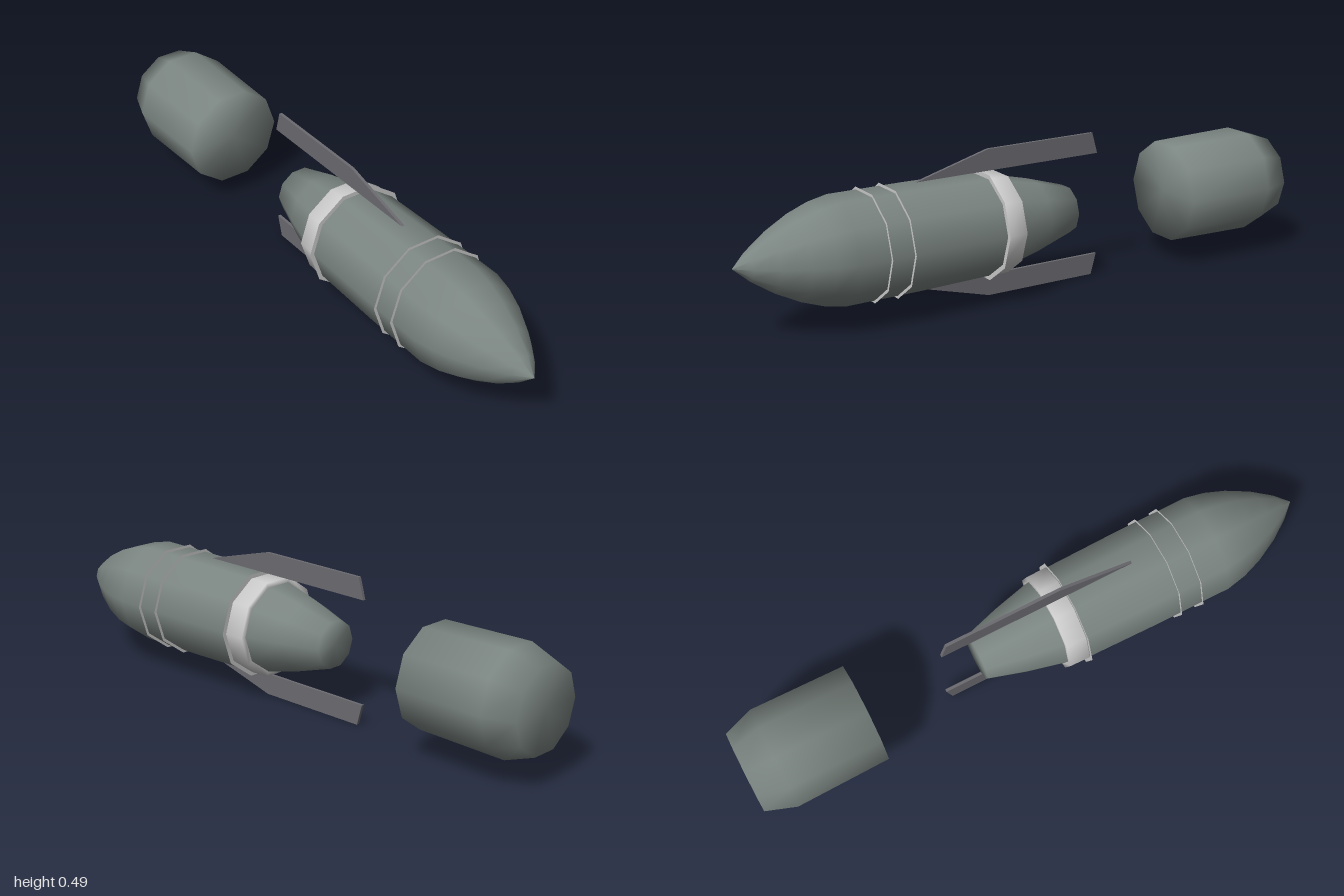
import * as THREE from 'three';

const SIDES = 10;
const AXIS_Y = 0.245;

const bodyMat = new THREE.MeshStandardMaterial({ color: 0x7b8581 });
const finMat = new THREE.MeshStandardMaterial({ color: 0x6a6a70 });
const bandMat = new THREE.MeshStandardMaterial({ color: 0xcccccc });
const ringMat = new THREE.MeshStandardMaterial({ color: 0xcccccc, side: THREE.DoubleSide });

// Ten-sided turned part lying along x; profile is [x, radius] from tail to nose.
function turned(name, profile, material) {
  const points = profile.map(([x, r]) => new THREE.Vector2(r, x));
  const geometry = new THREE.LatheGeometry(points, SIDES);
  geometry.rotateZ(-Math.PI / 2);
  const mesh = new THREE.Mesh(geometry, material);
  mesh.name = name;
  return mesh;
}

export function createModel() {
  const group = new THREE.Group();
  group.name = 'shell';
  const round = new THREE.Group();
  round.name = 'roundParts';
  round.position.y = AXIS_Y;
  group.add(round);

  // Cartridge case behind the projectile
  round.add(turned('case', [
    [-1, 0], [-1, 0.142], [-0.9, 0.178], [-0.58, 0.172], [-0.58, 0],
  ], bodyMat));

  // Tapered tail
  round.add(turned('tail', [
    [-0.18, 0], [-0.18, 0.08], [-0.05, 0.12], [0.08, 0.152],
  ], bodyMat));

  // Pale driving band
  round.add(turned('band', [
    [0.075, 0.15], [0.075, 0.168], [0.145, 0.17], [0.145, 0.15],
  ], bandMat));

  // Main body and pointed nose
  round.add(turned('body', [
    [0.145, 0.168], [0.4, 0.173], [0.66, 0.174], [0.73, 0.16],
    [0.8, 0.135], [0.88, 0.094], [0.95, 0.046], [1, 0],
  ], bodyMat));

  // Thin flat collars around the body
  for (const x of [0.147, 0.48, 0.56]) {
    const geometry = new THREE.RingGeometry(0.165, 0.183, SIDES);
    geometry.rotateY(Math.PI / 2);
    const collar = new THREE.Mesh(geometry, ringMat);
    collar.name = 'collar';
    collar.position.x = x;
    round.add(collar);
  }

  // Upper and lower guide fins
  for (const side of [1, -1]) {
    const outline = [[-0.3, 0.174], [0.38, 0.174], [0.12, 0.245], [-0.28, 0.245]]
      .map(([x, y]) => new THREE.Vector2(x, y * side));
    const geometry = new THREE.ExtrudeGeometry(new THREE.Shape(outline), {
      depth: 0.01, bevelEnabled: false,
    });
    geometry.translate(0, AXIS_Y, -0.005);
    const fin = new THREE.Mesh(geometry, finMat);
    fin.name = side > 0 ? 'upperFin' : 'lowerFin';
    group.add(fin);
  }
  return group;
}
